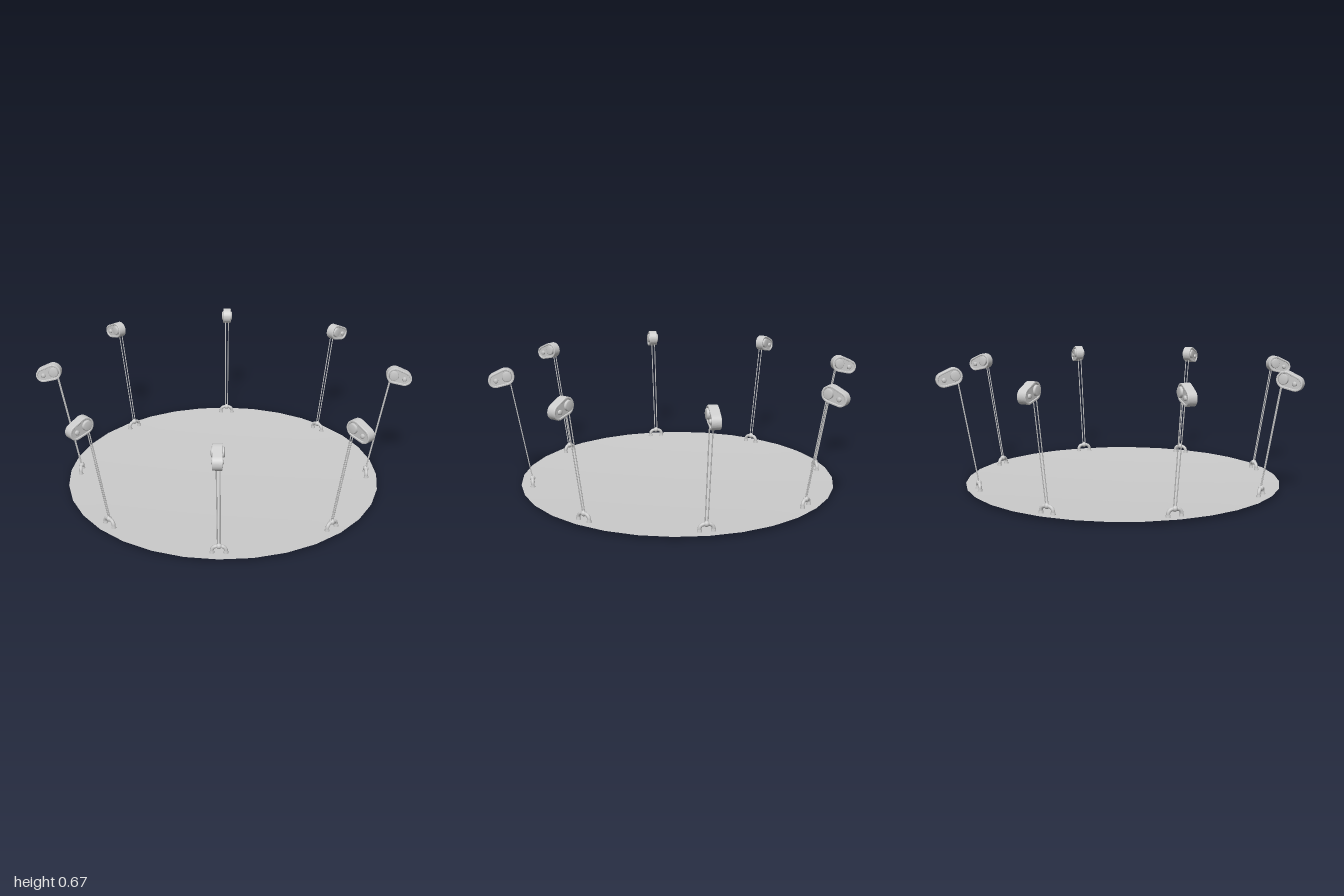
import * as THREE from 'three';

const material = new THREE.MeshStandardMaterial({ color: 0xcccccc, side: THREE.DoubleSide });

function add(parent, name, geometry, x = 0, y = 0, z = 0) {
  const mesh = new THREE.Mesh(geometry, material);
  mesh.name = name;
  mesh.position.set(x, y, z);
  parent.add(mesh);
  return mesh;
}

// Rounded outline around two circles: big inner lobe, small outer lobe
const inner = { x: 0.909, y: 0.623, r: 0.044 };
const outer = { x: 0.962, y: 0.605, r: 0.038 };
function lobes(PathType, inset) {
  const dx = outer.x - inner.x, dy = outer.y - inner.y;
  const tilt = Math.atan2(dy, dx);
  const half = Math.acos((inner.r - outer.r) / Math.hypot(dx, dy));
  const path = new PathType();
  path.absarc(outer.x, outer.y, outer.r - inset, tilt - half, tilt + half, false);
  path.absarc(inner.x, inner.y, inner.r - inset, tilt + half, tilt - half + Math.PI * 2, false);
  path.closePath();
  return path;
}

function slab(shape, depth, bevel) {
  const geometry = new THREE.ExtrudeGeometry(shape, {
    depth: depth - 2 * bevel, bevelEnabled: bevel > 0, bevelThickness: bevel,
    bevelSize: bevel, bevelOffset: -bevel, bevelSegments: 2, curveSegments: 14,
  });
  return geometry.translate(0, 0, -depth / 2 + bevel);
}

// Round stud through the block, with a softened edge
function hub(radius, length) {
  const h = length / 2, b = 0.004;
  const points = [[0, -h], [radius - b, -h], [radius, -h + b], [radius, h - b], [radius - b, h], [0, h]];
  return new THREE.LatheGeometry(points.map(p => new THREE.Vector2(...p)), 20).rotateX(Math.PI / 2);
}

// One station on the +x side: block on top, two cords, arched bracket below
function makeStation() {
  const station = new THREE.Group();
  station.name = 'station';

  const rim = lobes(THREE.Shape, 0);
  rim.holes.push(lobes(THREE.Path, 0.011));
  add(station, 'blockRim', slab(rim, 0.046, 0.003));
  add(station, 'blockPlate', slab(lobes(THREE.Shape, 0.008), 0.036, 0));
  add(station, 'largeHub', hub(0.026, 0.062), 0.903, 0.625);
  add(station, 'smallHub', hub(0.012, 0.056), 0.96, 0.605);

  for (const side of [-1, 1]) {
    const cord = new THREE.LineCurve3(
      new THREE.Vector3(0.795, 0.06, side * 0.007),
      new THREE.Vector3(0.889, 0.6, side * 0.009));
    add(station, 'cord', new THREE.TubeGeometry(cord, 1, 0.0028, 6));
    add(station, 'bracketFoot', new THREE.CylinderGeometry(0.011, 0.013, 0.012, 12), 0.795, 0.022, side * 0.034);
  }

  const arch = new THREE.CatmullRomCurve3(
    [[0.018, -0.034], [0.038, -0.033], [0.051, -0.022], [0.054, 0], [0.051, 0.022], [0.038, 0.033], [0.018, 0.034]]
      .map(([y, z]) => new THREE.Vector3(0.795, y, z)));
  add(station, 'bracketArch', new THREE.TubeGeometry(arch, 20, 0.0095, 10));
  add(station, 'cordCollar', new THREE.SphereGeometry(0.015, 14, 10), 0.795, 0.055);
  return station;
}

export function createModel() {
  const model = new THREE.Group();
  model.name = 'discWithStations';

  // Thin, very slightly dished round sheet
  const profile = [0, 0.2, 0.4, 0.6, 0.8, 1].map(t => new THREE.Vector2(0.855 * t, 0.018 * t * t));
  add(model, 'sheet', new THREE.LatheGeometry(profile, 32));

  // Eight stations around the edge
  for (let i = 0; i < 8; i++) {
    const station = makeStation();
    station.rotation.y = i * Math.PI / 4;
    model.add(station);
  }
  return model;
}
